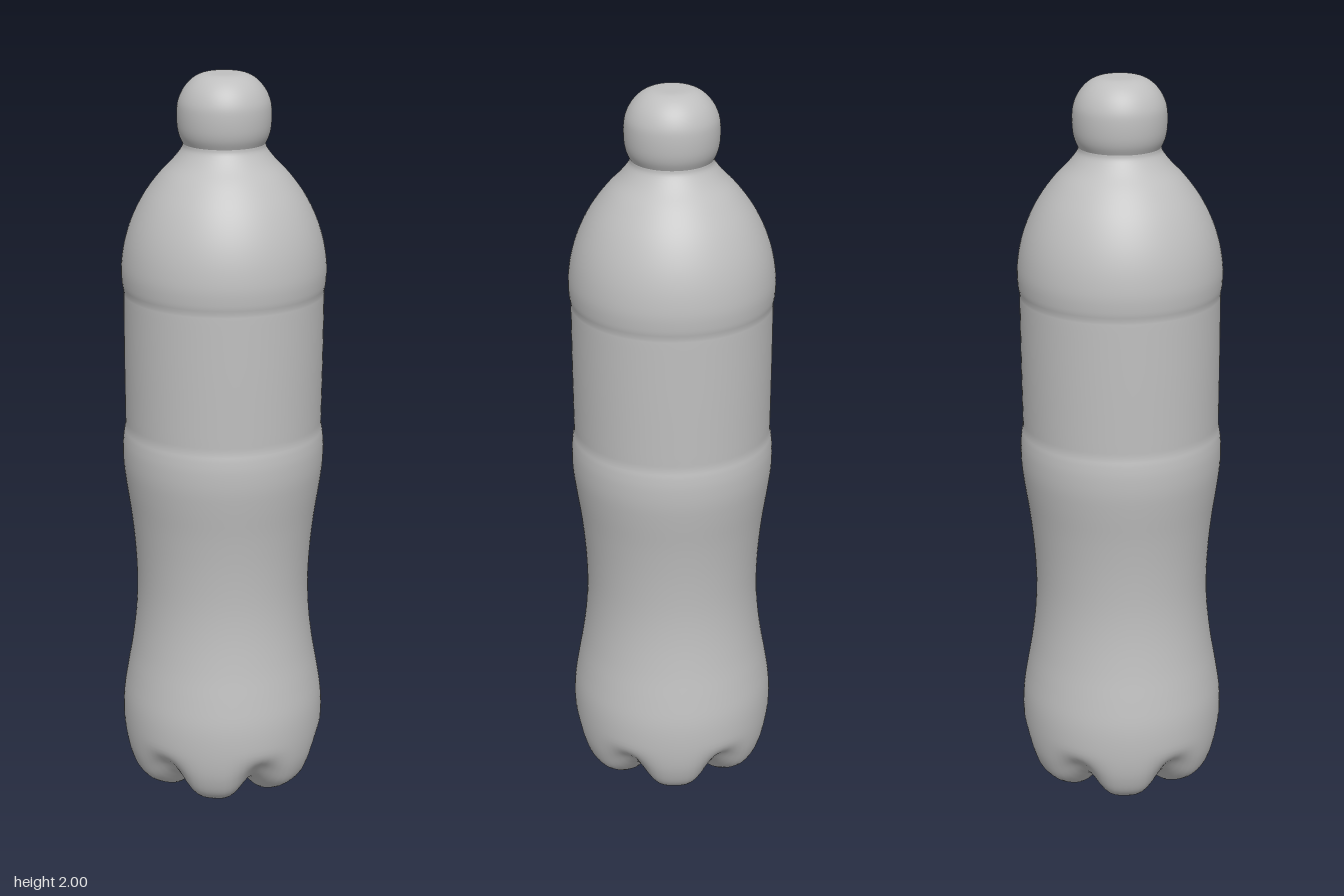
import * as THREE from 'three';
import { mergeVertices } from 'three/addons/utils/BufferGeometryUtils.js';

const SEGMENTS = 96;
const FEET = 6;

// Smoothly turned shape from [radius, height] pairs, listed bottom to top
function turned(profile, deform) {
  const curve = new THREE.SplineCurve(profile.map(([r, y]) => new THREE.Vector2(r, y)));
  const points = curve.getPoints((profile.length - 1) * 4);
  points.forEach((p) => { p.x = Math.max(p.x, 0); p.y = THREE.MathUtils.clamp(p.y, 0, 2); });
  let geometry = new THREE.LatheGeometry(points, SEGMENTS);
  const pos = geometry.attributes.position;
  const v = new THREE.Vector3();
  for (let i = 0; i < pos.count; i++) {
    v.fromBufferAttribute(pos, i);
    if (deform) deform(v);
    // the upper bottle leans very slightly to its left
    v.x += 0.005 * THREE.MathUtils.smoothstep(v.y, 0.3, 1.8);
    pos.setXYZ(i, v.x, v.y, v.z);
  }
  geometry.deleteAttribute('normal');
  geometry.deleteAttribute('uv');
  geometry = mergeVertices(geometry, 1e-5);
  geometry.computeVertexNormals();
  return geometry;
}

// Press grooves between the feet, fading up the wall and towards the centre
function pressFeet(v) {
  if (v.y > 0.2) return;
  const radius = Math.hypot(v.x, v.z);
  const groove = Math.pow(0.5 + 0.5 * Math.cos(FEET * Math.atan2(v.x, v.z)), 2);
  const fade = (1 - THREE.MathUtils.smoothstep(v.y, 0.04, 0.19))
    * THREE.MathUtils.smoothstep(radius, 0.01, 0.15);
  const shrink = 1 - 0.1 * groove * fade;
  v.x *= shrink;
  v.z *= shrink;
  v.y += 0.05 * groove * fade;
}

export function createModel() {
  const group = new THREE.Group();
  group.name = 'bottle';
  const grey = new THREE.MeshStandardMaterial({ color: 0xbfbfbf });
  grey.name = 'grey plastic';

  // Body: footed base, waist, recessed label band, domed shoulder, neck
  const body = new THREE.Mesh(turned([
    [0, 0.045], [0.05, 0.035], [0.1, 0.012], [0.145, 0], [0.18, 0.006],
    [0.22, 0.026], [0.25, 0.055], [0.268, 0.1], [0.277, 0.15], [0.28, 0.21],
    [0.277, 0.27], [0.266, 0.34], [0.252, 0.42], [0.241, 0.51], [0.237, 0.6],
    [0.241, 0.7], [0.251, 0.8], [0.264, 0.89], [0.271, 0.95], [0.272, 1.0],
    [0.269, 1.035], [0.265, 1.06], [0.265, 1.1], [0.266, 1.25], [0.266, 1.4],
    [0.266, 1.43], [0.27, 1.455], [0.271, 1.5], [0.262, 1.56], [0.243, 1.62],
    [0.213, 1.68], [0.173, 1.735], [0.135, 1.775], [0.112, 1.805], [0.108, 1.82],
  ], pressFeet), grey);
  body.name = 'body';

  // Rounded cap
  const cap = new THREE.Mesh(turned([
    [0.108, 1.82], [0.117, 1.84], [0.122, 1.865], [0.123, 1.9], [0.119, 1.93],
    [0.105, 1.96], [0.083, 1.984], [0.058, 1.997], [0.03, 2], [0, 2],
  ]), grey);
  cap.name = 'cap';

  group.add(body, cap);
  return group;
}
